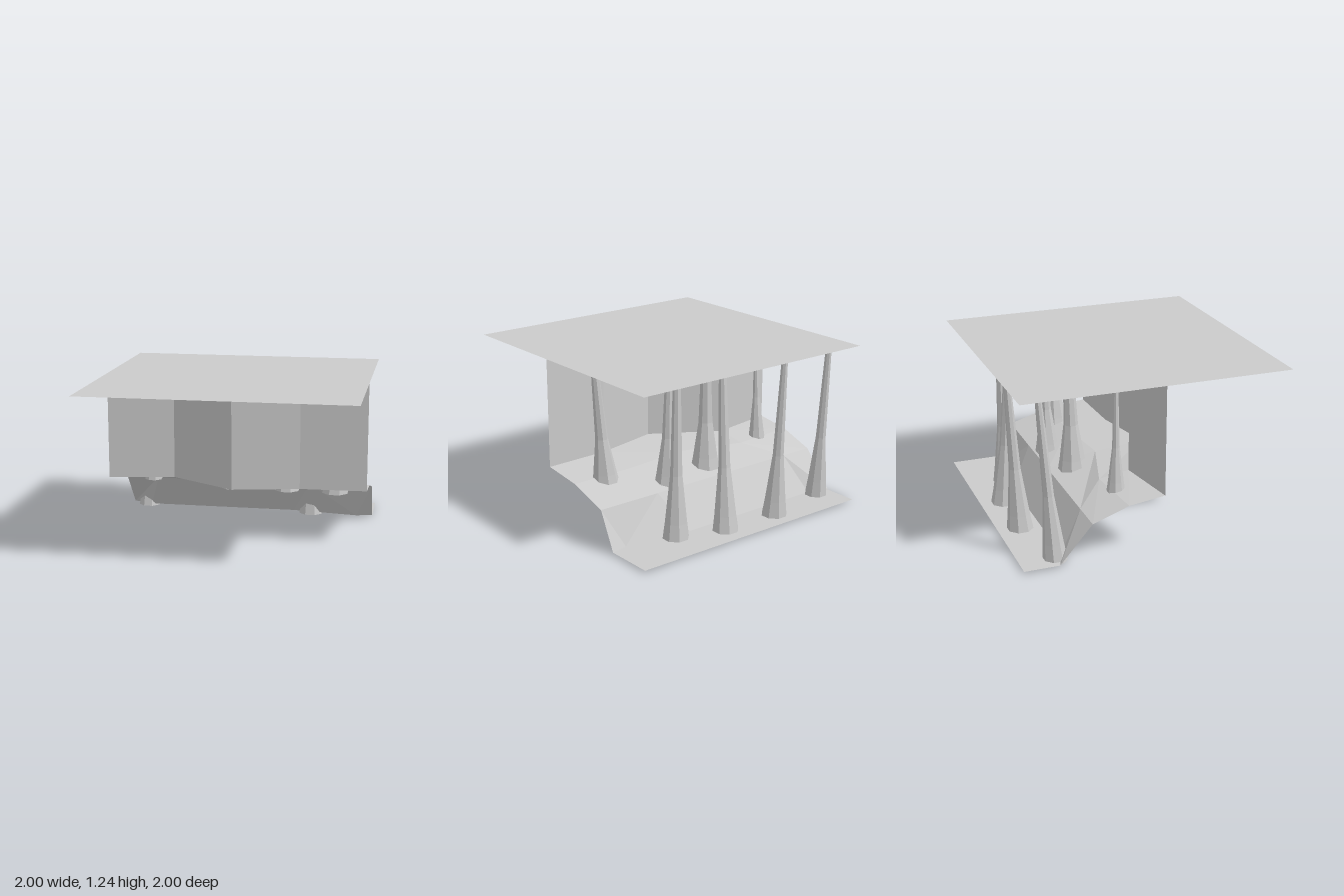
import * as THREE from 'three';

const sheetMat = new THREE.MeshStandardMaterial({ color: 0xcccccc, flatShading: true, side: THREE.DoubleSide });
const trunkMat = new THREE.MeshStandardMaterial({ color: 0xcccccc, flatShading: true });

// Open sheet lofted through rows of [x, y, z] points
function sheet(name, rows) {
  const n = rows[0].length, index = [];
  for (let r = 0; r < rows.length - 1; r++) {
    for (let i = 0; i < n - 1; i++) {
      const a = r * n + i, b = a + n;
      index.push(a, a + 1, b, a + 1, b + 1, b);
    }
  }
  const geo = new THREE.BufferGeometry();
  geo.setAttribute('position', new THREE.Float32BufferAttribute(rows.flat(2), 3));
  geo.setIndex(index);
  geo.computeVertexNormals();
  const mesh = new THREE.Mesh(geo, sheetMat);
  mesh.name = name;
  return mesh;
}

// Flared eight-sided trunk, sheared from its base centre to its top centre
function trunk([bx, by, bz, baseR, tx, tz, topR], topY) {
  const h = topY - by;
  const mix = (t) => topR + (baseR - topR) * t;
  const profile = [[0, 0], [baseR, 0], [mix(0.76), 0.11], [mix(0.25), 0.4], [topR, 1], [0, 1]]
    .map(([r, y]) => new THREE.Vector2(r, y * h));
  const geo = new THREE.LatheGeometry(profile, 8, Math.PI / 8);
  const p = geo.attributes.position;
  for (let i = 0; i < p.count; i++) {
    const t = p.getY(i) / h;
    p.setXYZ(i, p.getX(i) + bx + (tx - bx) * t, p.getY(i) + by, p.getZ(i) + bz + (tz - bz) * t);
  }
  geo.computeVertexNormals();
  const mesh = new THREE.Mesh(geo, trunkMat);
  mesh.name = 'trunk';
  return mesh;
}

export function createModel() {
  const group = new THREE.Group();
  group.name = 'sunkenGrove';
  const topY = 1.235, ledgeY = 0.42, lowY = 0.015;

  // Flat canopy sheet
  const canopy = new THREE.Mesh(new THREE.PlaneGeometry(2, 2).rotateX(-Math.PI / 2), sheetMat);
  canopy.position.y = topY;
  canopy.name = 'canopy';
  group.add(canopy);

  // Folded wall under the canopy
  const wallLine = [[-1, 0.04], [-0.5, -0.04], [0, 0.26], [0.5, 0.15], [1, 0.135]];
  const atHeight = (y) => wallLine.map(([x, z]) => [x, y, z]);
  group.add(sheet('wall', [atHeight(topY), atHeight(ledgeY)]));

  // Floor: sloping ledge, steep bank, then a flat strip at the back
  const bankFoot = [[-1, -0.74], [-0.84, -0.68], [0.35, -0.68], [0.87, -0.61], [1, -0.635]];
  group.add(sheet('floor', [
    atHeight(ledgeY),
    wallLine.map(([x, z]) => [x, 0.385, (z - 0.5) / 2]),
    [-1, -0.74, 0, 0.5, 1].map((x) => [x, 0.29, -0.5]),
    bankFoot.map(([x, z]) => [x, lowY, z]),
    bankFoot.map(([x]) => [x, lowY, -1]),
  ]));

  // Trunks: base x, y, z, base radius, top x, z, top radius
  const trunks = new THREE.Group();
  trunks.name = 'trunks';
  [
    [-0.87, 0, -0.735, 0.09, -0.85, -0.83, 0.023],
    [-0.34, 0, -0.83, 0.1, -0.335, -0.9, 0.024],
    [0.13, 0, -0.82, 0.1, 0.12, -0.75, 0.027],
    [0.495, 0, -0.7, 0.1, 0.5, -0.715, 0.027],
    [0.335, 0.265, -0.395, 0.1, 0.335, -0.425, 0.024],
    [-0.085, 0.29, -0.33, 0.115, -0.065, -0.355, 0.034],
    [-0.71, 0.355, -0.22, 0.07, -0.685, -0.21, 0.013],
    [0.735, 0.315, -0.195, 0.105, 0.83, -0.21, 0.027],
  ].forEach((t) => trunks.add(trunk(t, topY)));
  group.add(trunks);

  return group;
}
